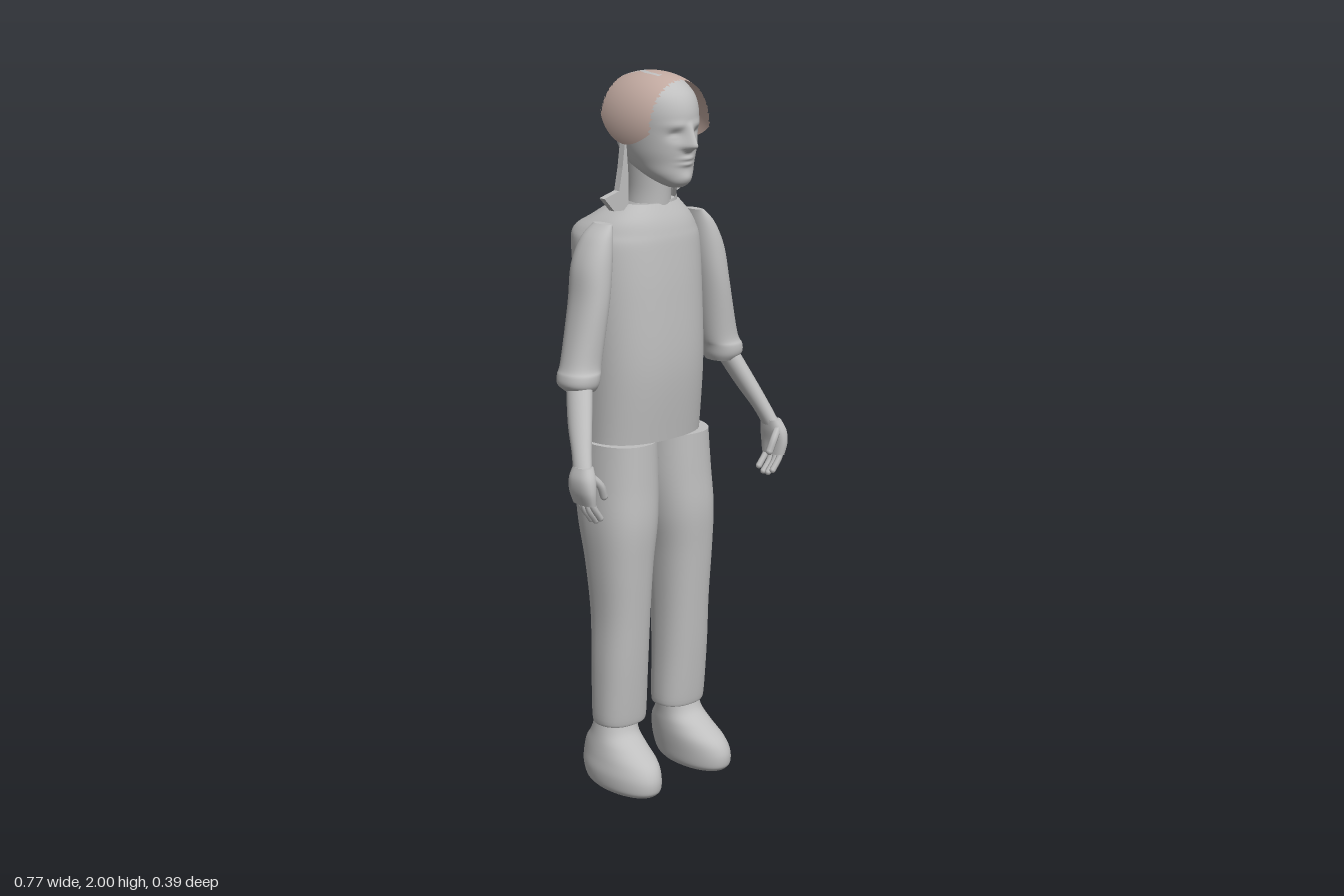
import * as THREE from 'three';

const grey = new THREE.MeshStandardMaterial({ color: 0xbfbfbf, side: THREE.DoubleSide });
grey.name = 'plain grey';
const brown = new THREE.MeshStandardMaterial({ color: 0xc2aaa1, side: THREE.DoubleSide });
brown.name = 'hair brown';

const MID = 0.01; // body's mirror line
const gauss = (v, c, w) => Math.exp(-(((v - c) / w) ** 2));

// Smooth loft through horizontal sections [y, x0, x1, zBack, zFront]; n is the roundness of the outline
function loft(sections, { seg = 40, steps = 6, n = 2, caps = true, move = null } = {}) {
  const last = sections.length - 1;
  const at = (i) => sections[Math.min(last, Math.max(0, i))];
  const rings = [];
  for (let i = 0; i < last; i++) {
    for (let k = 0; k < steps; k++) {
      const t = k / steps;
      rings.push(at(i).map((p1, c) => {
        const p0 = at(i - 1)[c], p2 = at(i + 1)[c], p3 = at(i + 2)[c];
        return p1 + 0.5 * t * (p2 - p0 + t * (2 * p0 - 5 * p1 + 4 * p2 - p3 + t * (3 * (p1 - p2) + p3 - p0)));
      }));
    }
  }
  rings.push(at(last));
  const pos = [], index = [];
  const pw = (v) => Math.sign(v) * Math.abs(v) ** (2 / n);
  for (const [y, x0, x1, z0, z1] of rings) {
    for (let i = 0; i < seg; i++) {
      const a = (i / seg) * Math.PI * 2;
      const p = new THREE.Vector3((x0 + x1) / 2 + ((x1 - x0) / 2) * pw(Math.cos(a)), y,
        (z0 + z1) / 2 + ((z1 - z0) / 2) * pw(Math.sin(a)));
      if (move) move(p);
      pos.push(p.x, p.y, p.z);
    }
  }
  for (let j = 0; j < rings.length - 1; j++) {
    for (let i = 0; i < seg; i++) {
      const a = j * seg + i, b = j * seg + ((i + 1) % seg);
      index.push(a, a + seg, b, b, a + seg, b + seg);
    }
  }
  if (caps) {
    for (const top of [false, true]) {
      const from = top ? (rings.length - 1) * seg : 0;
      const base = pos.length / 3;
      const r = rings[top ? rings.length - 1 : 0];
      pos.push(...pos.slice(from * 3, (from + seg) * 3), (r[1] + r[2]) / 2, r[0], (r[3] + r[4]) / 2);
      for (let i = 0; i < seg; i++) {
        const a = base + i, b = base + ((i + 1) % seg);
        index.push(base + seg, top ? b : a, top ? a : b);
      }
    }
  }
  const g = new THREE.BufferGeometry();
  g.setAttribute('position', new THREE.Float32BufferAttribute(pos, 3));
  g.setIndex(index);
  g.computeVertexNormals();
  return g;
}

// Turn sections measured outward from the mirror line into one side's sections
const sided = (s, list) => list.map(([y, a, b, z0, z1]) =>
  s > 0 ? [y, MID + a, MID + b, z0, z1] : [y, MID - b, MID - a, z0, z1]);

// Head with brow, eye sockets, nose, lips and chin pushed out of the surface
function shapeFace(p) {
  if (p.z < 0.06) return;
  const x = p.x - MID, y = p.y;
  const ridge = y > 1.812 ? Math.max(0, 1 - (y - 1.812) / 0.065) : Math.max(0, 1 - (1.812 - y) / 0.018);
  p.z += 0.034 * ridge * gauss(x, 0, 0.009 + 0.01 * ridge);
  p.z -= 0.012 * gauss(Math.abs(x), 0.037, 0.018) * gauss(y, 1.842, 0.013);
  p.z += 0.005 * gauss(Math.abs(x), 0.037, 0.012) * gauss(y, 1.838, 0.006);
  p.z += 0.004 * gauss(Math.abs(x), 0.035, 0.03) * gauss(y, 1.868, 0.01);
  p.z += gauss(x, 0, 0.024) * (0.006 * gauss(y, 1.779, 0.006) + 0.006 * gauss(y, 1.764, 0.006));
  p.z += 0.005 * gauss(x, 0, 0.025) * gauss(y, 1.727, 0.014);
}

// Hair cap: arches from ear to ear, with a bare ring and streaks on the crown
function hairCap() {
  const U = 96, V = 40, pos = [], hair = [], bare = [];
  for (let j = 0; j <= V; j++) {
    for (let i = 0; i <= U; i++) {
      const u = (i / U) * 2 - 1;
      const fray = 0.004 * Math.sin(i * 2.3) + 0.003 * Math.sin(i * 5.1);
      const z = -0.062 + 0.19 * (j / V) + (j === 0 || j === V ? fray : 0);
      const s = Math.sqrt(1 - ((z - 0.03) / 0.2) ** 2);
      const reach = Math.PI / 2 + 0.3 - 28 * (z - 0.045) ** 2 * (z < 0.045 ? 1.6 : 1.2);
      const a = u * reach;
      pos.push(MID + 0.125 * s * Math.sin(a), 1.858 + 0.142 * s * Math.cos(a), z);
    }
  }
  for (let j = 0; j < V; j++) {
    for (let i = 0; i < U; i++) {
      const a = j * (U + 1) + i, b = a + U + 1;
      const x = pos[a * 3] - MID, z = pos[a * 3 + 2];
      const top = pos[a * 3 + 1] > 1.95;
      const d = Math.hypot(x / 0.033, (z - 0.05) / 0.062);
      const ring = d > 0.8 && d < 1.1 && z < 0.08;
      const streak = z < -0.005 && Math.abs(x) < 0.03 && i % 3 !== 0;
      (top && (ring || streak) ? bare : hair).push(a, b, a + 1, b, b + 1, a + 1);
    }
  }
  const g = new THREE.BufferGeometry();
  g.setAttribute('position', new THREE.Float32BufferAttribute(pos, 3));
  g.setIndex([...hair, ...bare]);
  g.addGroup(0, hair.length, 0);
  g.addGroup(hair.length, bare.length, 1);
  g.computeVertexNormals();
  return g;
}

export function createModel() {
  const model = new THREE.Group();
  const add = (name, geometry, material = grey) => {
    const mesh = new THREE.Mesh(geometry, material);
    mesh.name = name;
    model.add(mesh);
    return mesh;
  };

  // Shirt body and collar
  add('shirt', loft([
    [1.0, -0.17, 0.19, -0.155, 0.1], [1.2, -0.172, 0.19, -0.165, 0.12], [1.4, -0.172, 0.19, -0.178, 0.115],
    [1.53, -0.168, 0.19, -0.193, 0.105], [1.575, -0.155, 0.178, -0.192, 0.098], [1.61, -0.13, 0.15, -0.135, 0.088],
    [1.65, -0.085, 0.105, -0.075, 0.07]], { n: 2.4, seg: 56 }));
  add('collar', loft([[1.62, -0.09, 0.11, -0.08, 0.08], [1.65, -0.08, 0.103, -0.073, 0.073], [1.685, -0.075, 0.1, -0.07, 0.07]], {
    caps: false,
    move: (p) => { p.y -= 0.03 * Math.max(0, p.z / 0.07) + 0.02 * Math.max(0, -p.x / 0.08); },
  }));

  // Neck and head
  add('neck', loft([[1.6, -0.055, 0.075, -0.065, 0.07], [1.68, -0.045, 0.065, -0.058, 0.075], [1.78, -0.05, 0.07, -0.062, 0.085]]));
  add('head', loft(sided(1, [
    [1.7, -0.02, 0.02, 0.09, 0.135], [1.712, -0.04, 0.04, 0.05, 0.152], [1.735, -0.062, 0.062, 0.0, 0.156],
    [1.765, -0.077, 0.077, -0.055, 0.158], [1.8, -0.088, 0.088, -0.08, 0.163], [1.85, -0.096, 0.096, -0.093, 0.166],
    [1.9, -0.1, 0.1, -0.094, 0.165], [1.94, -0.094, 0.094, -0.082, 0.15], [1.97, -0.075, 0.075, -0.058, 0.12],
    [1.987, -0.05, 0.05, -0.03, 0.09], [1.994, -0.015, 0.015, 0.01, 0.05]]), { seg: 120, steps: 9, move: shapeFace }));

  // Hair cap, nape fringe and loose locks beside the neck
  add('hairCap', hairCap(), [brown, grey]);
  const nape = add('napeHair', new THREE.TorusGeometry(0.064, 0.005, 6, 24, Math.PI * 0.8), brown);
  nape.rotation.set(-Math.PI / 2, 0, Math.PI * 0.1);
  nape.position.set(MID, 1.75, 0);
  const locks = {
    rightLock: [[-0.088, 1.84], [-0.1, 1.75], [-0.112, 1.69], [-0.165, 1.675], [-0.13, 1.638], [-0.08, 1.635], [-0.078, 1.72]],
    leftLock: [[0.108, 1.84], [0.113, 1.765], [0.147, 1.69], [0.1, 1.668], [0.095, 1.72]],
  };
  for (const [name, points] of Object.entries(locks)) {
    const shape = new THREE.Shape(points.map(([x, y]) => new THREE.Vector2(x, y)));
    add(name, new THREE.ExtrudeGeometry(shape, { depth: 0.02, bevelEnabled: false })).position.z = 0.005;
  }

  for (const s of [1, -1]) {
    const side = s > 0 ? 'left' : 'right';
    // Sleeve with rolled cuff, then forearm and palm
    add(side + 'Sleeve', loft(sided(s, [
      [1.172, 0.225, 0.305, -0.022, 0.068], [1.19, 0.217, 0.323, -0.035, 0.08], [1.215, 0.212, 0.322, -0.037, 0.082],
      [1.25, 0.202, 0.308, -0.037, 0.074], [1.4, 0.178, 0.272, -0.047, 0.078], [1.5, 0.162, 0.255, -0.052, 0.072],
      [1.57, 0.155, 0.222, -0.042, 0.06], [1.608, 0.155, 0.182, -0.022, 0.046]]), { n: 2.2 }));
    add(side + 'Forearm', loft(sided(s, [
      [0.985, 0.335, 0.378, 0.105, 0.165], [1.03, 0.317, 0.365, 0.085, 0.145], [1.1, 0.285, 0.342, 0.04, 0.115],
      [1.2, 0.24, 0.305, -0.01, 0.07]]), { seg: 24 }));
    add(side + 'Palm', loft(sided(s, [
      [0.9, 0.342, 0.374, 0.105, 0.184], [0.935, 0.342, 0.385, 0.098, 0.188], [0.97, 0.337, 0.386, 0.098, 0.183],
      [1.0, 0.335, 0.375, 0.105, 0.168]]), { seg: 24, n: 2.5 }));

    // Four curled fingers in a row and a thumb
    const digit = (name, radius, points) => {
      const curve = new THREE.CatmullRomCurve3(points.map(([d, y, z]) => new THREE.Vector3(MID + s * d, y, z)));
      add(name, new THREE.TubeGeometry(curve, 10, radius, 8));
      const tip = add(name + 'Tip', new THREE.SphereGeometry(radius, 8, 6));
      tip.position.copy(curve.getPoint(1));
    };
    for (let f = 0; f < 4; f++) {
      const z = 0.118 + f * 0.018, drop = [0.012, 0, 0, 0.01][f];
      digit(side + 'Finger' + (f + 1), 0.009, [[0.36, 0.915, z], [0.352, 0.883 + drop, z + 0.002], [0.328, 0.85 + drop, z]]);
    }
    digit(side + 'Thumb', 0.011, [[0.355, 0.98, 0.165], [0.328, 0.95, 0.174], [0.314, 0.918, 0.172]]);

    // Trouser leg and shoe
    add(side + 'TrouserLeg', loft(sided(s, [
      [0.18, 0.042, 0.183, -0.05, 0.068], [0.2, 0.035, 0.192, -0.056, 0.075], [0.35, 0.037, 0.194, -0.06, 0.088],
      [0.5, 0.036, 0.192, -0.066, 0.098], [0.65, 0.028, 0.2, -0.085, 0.108], [0.77, 0.01, 0.206, -0.115, 0.115],
      [0.88, 0, 0.202, -0.135, 0.11], [1.0, 0, 0.195, -0.15, 0.105]]), { n: 2.3 }));
    add(side + 'Shoe', loft(sided(s, [
      [0, 0.075, 0.198, -0.06, 0.172], [0.015, 0.066, 0.208, -0.08, 0.185], [0.05, 0.062, 0.21, -0.094, 0.185],
      [0.085, 0.06, 0.203, -0.096, 0.165], [0.12, 0.06, 0.195, -0.088, 0.115], [0.155, 0.06, 0.188, -0.065, 0.07],
      [0.21, 0.055, 0.18, -0.045, 0.052]]), { n: 2.1 }));
  }
  return model;
}
